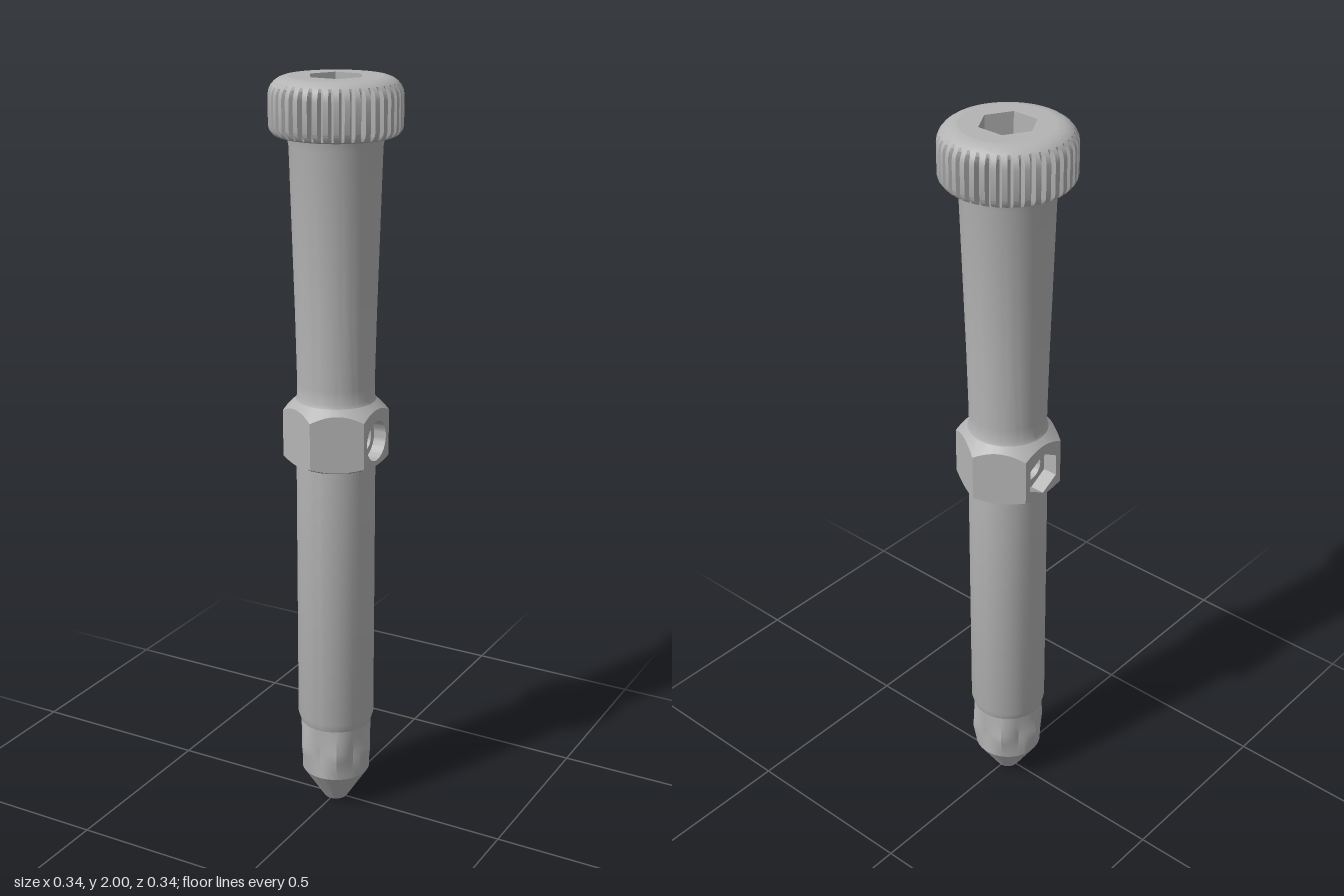
import * as THREE from 'three';
import { toCreasedNormals } from 'three/addons/utils/BufferGeometryUtils.js';

const steel = new THREE.MeshStandardMaterial({ color: 0xb4b4b4 });
steel.name = 'steel grey';

// Radius of a regular hexagon at an angle; `flat` is the angle of one flat's middle
function hexRadius(apothem, angle, flat = 0) {
  const step = Math.PI / 3;
  const a = angle - flat;
  return apothem / Math.cos(a - Math.round(a / step) * step);
}

// Turned surface; rule(r, y, angle) may reshape each point. Rising profiles face outwards.
function turned(profile, segments = 72, rule = null, crease = 0.5) {
  const geo = new THREE.LatheGeometry(profile.map(([r, y]) => new THREE.Vector2(r, y)), segments);
  const p = geo.attributes.position;
  if (rule) {
    for (let i = 0; i < p.count; i++) {
      const row = i % profile.length;
      const a = Math.floor(i / profile.length) / segments * Math.PI * 2;
      const [r, y] = rule(profile[row][0], profile[row][1], a, row);
      p.setXYZ(i, r * Math.sin(a), y, r * Math.cos(a));
    }
  }
  return toCreasedNormals(geo, crease);
}

function polygon(count, radius, start, PathType = THREE.Path) {
  const path = new PathType();
  path.setFromPoints(Array.from({ length: count }, (_, i) => {
    const a = start + i / count * Math.PI * 2;
    return new THREE.Vector2(radius * Math.cos(a), radius * Math.sin(a));
  }));
  path.closePath();
  return path;
}

export function createModel() {
  const model = new THREE.Group();
  const add = (name, geo, parent = model) => {
    const mesh = new THREE.Mesh(geo, steel);
    mesh.name = name;
    parent.add(mesh);
    return mesh;
  };

  const BORE = 0.028;

  // Conical tip with the open bore
  add('tip', turned([[BORE, 0], [0.032, 0], [0.093, 0.095]]));

  // Neck with six pointed bumps
  const neckRows = [0.095, 0.115, 0.13, 0.15, 0.165, 0.18, 0.2, 0.22, 0.245].map((y) => [0.095, y]);
  add('bumpedNeck', turned(neckRows, 72, (r, y, a) => {
    const step = Math.PI / 3;
    const off = a - Math.PI / 2;
    const around = 1 - Math.abs(off - Math.round(off / step) * step) / (step / 2);
    const reach = y < 0.165 ? 0.07 : 0.08;
    const along = 1 - Math.abs(y - 0.165) / reach;
    const base = 0.093 + (y - 0.095) / 0.15 * 0.004;
    return [base + along * (-0.004 + 0.015 * around), y];
  }, 0.3));

  // Straight shaft and tapered shank
  add('shaft', turned([[0.097, 0.245], [0.104, 0.268], [0.104, 1.0]]));
  add('shank', turned([[0.105, 1.175], [0.101, 1.185], [0.101, 1.22], [0.105, 1.4], [0.118, 1.83], [0.123, 1.856]]));

  // Hexagonal collar: rounded chamfers, then six flats
  const collar = new THREE.Group();
  collar.name = 'hexCollar';
  model.add(collar);
  const FLAT = 0.12;
  const topY = (r) => 1.175 - (r - 0.105);
  const lowY = (r) => 1.0 + (r - 0.105) * 0.5;
  const outer = (a) => hexRadius(FLAT, a, Math.PI / 6);
  add('collarTopChamfer', turned([[0.13, 1.15], [0.104, 1.175]], 72,
    (r, y, a, row) => (row === 0 ? [outer(a), topY(outer(a))] : [r, y])), collar);
  add('collarBottomChamfer', turned([[0.103, 1.0], [0.13, 1.01]], 72,
    (r, y, a, row) => (row === 1 ? [outer(a), lowY(outer(a))] : [r, y])), collar);

  const HOLE_Y = 1.075;
  for (let k = 0; k < 6; k++) {
    const us = Array.from({ length: 13 }, (_, i) => FLAT * Math.tan((i - 6) * Math.PI / 36));
    const low = us.map((u) => new THREE.Vector2(u, lowY(Math.hypot(u, FLAT)) - HOLE_Y));
    const top = us.map((u) => new THREE.Vector2(u, topY(Math.hypot(u, FLAT)) - HOLE_Y)).reverse();
    const face = new THREE.Shape([...low, ...top]);
    if (k === 1) face.holes.push(polygon(48, 0.053, 0));
    if (k === 4) face.holes.push(polygon(6, 0.06, Math.PI / 2));
    const geo = new THREE.ShapeGeometry(face);
    geo.translate(0, HOLE_Y, FLAT).rotateY(Math.PI / 6 + k * Math.PI / 3);
    add('collarFlat', geo, collar);
  }

  // Cross hole: round recess on one side, hexagonal recess on the other
  const round = turned([[0.053, FLAT], [0.053, 0.085], [0.036, 0.085], [0.036, 0.022]], 48);
  add('roundRecess', round.rotateZ(-Math.PI / 2).translate(0, HOLE_Y, 0), collar);
  const nut = turned([[0.06, FLAT], [0.06, 0.08], [0.036, 0.08], [0.036, 0.022]], 60,
    (r, y, a, row) => [row < 2 ? hexRadius(0.06 * Math.cos(Math.PI / 6), a) : r, y]);
  add('hexRecess', nut.rotateZ(Math.PI / 2).translate(0, HOLE_Y, 0), collar);

  // Knurled head: every fourth column is cut back into a groove
  const headProfile = [[0.12, 1.856], [0.148, 1.856], [0.157, 1.86], [0.166, 1.872], [0.168, 1.88], [0.168, 1.955]];
  for (let i = 1; i <= 6; i++) {
    const t = i / 6 * Math.PI / 2;
    headProfile.push([0.118 + 0.05 * Math.cos(t), 1.955 + 0.045 * Math.sin(t)]);
  }
  const columns = 160;
  add('knurledHead', turned(headProfile, columns, (r, y, a) => {
    const groove = Math.round(a / (Math.PI * 2) * columns) % 4 === 3;
    return [groove ? Math.min(r, 0.155) : r, y];
  }));

  // Flat top around the hexagonal socket
  const SOCKET = 0.063;
  const topFace = polygon(columns, 0.118, 0, THREE.Shape);
  topFace.holes.push(polygon(6, SOCKET / Math.cos(Math.PI / 6), 0));
  add('headTop', new THREE.ShapeGeometry(topFace).rotateX(-Math.PI / 2).translate(0, 2, 0));

  // Socket walls, conical floor and the bore through the whole length
  add('hexSocket', turned([[SOCKET, 2], [SOCKET, 1.88], [BORE, 1.84]], 60,
    (r, y, a, row) => [row < 2 ? hexRadius(SOCKET, a) : r, y]));
  add('upperBore', turned([[BORE, 1.84], [BORE, HOLE_Y + 0.03]], 48));
  add('lowerBore', turned([[BORE, HOLE_Y - 0.03], [BORE, 0]], 48));

  return model;
}
